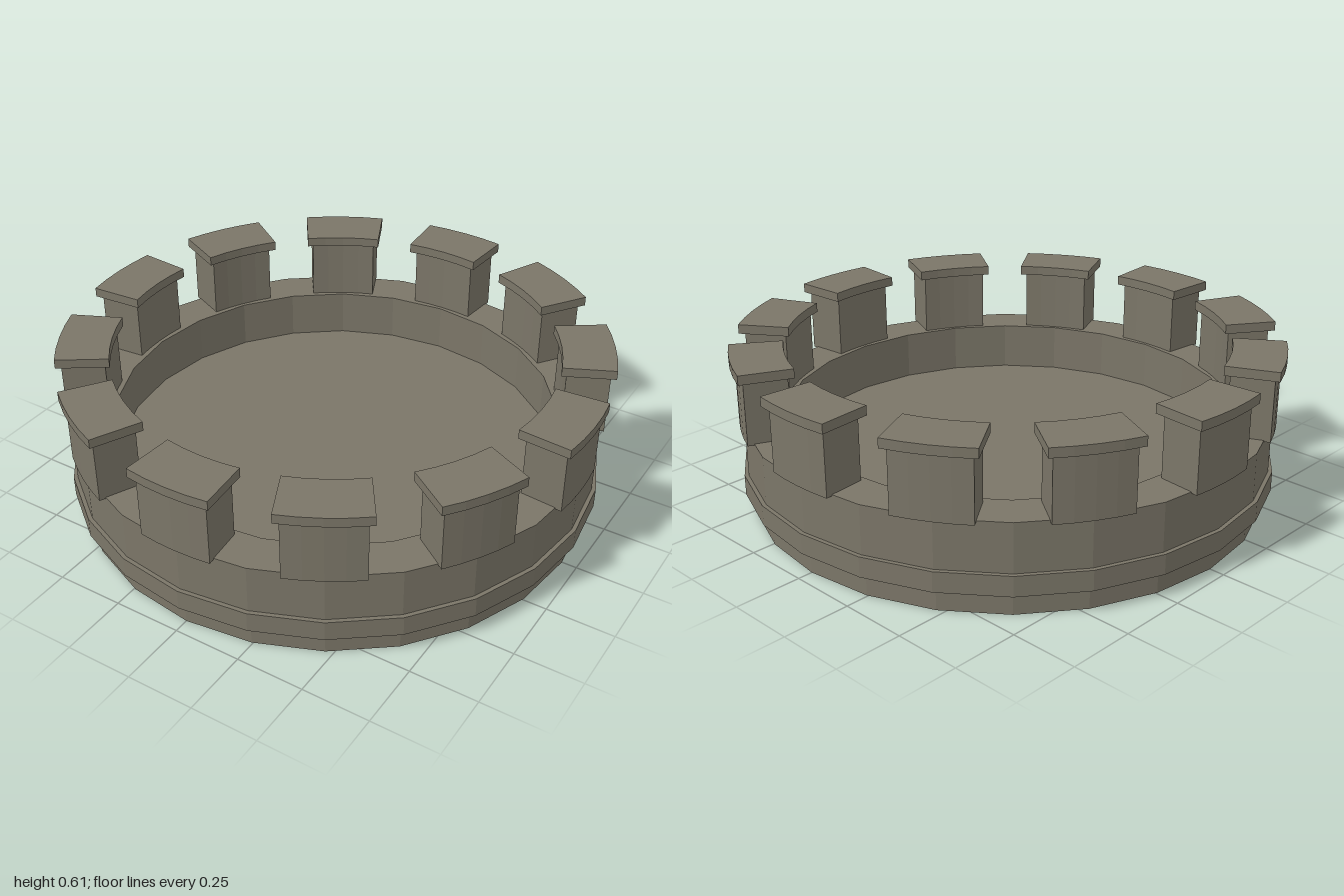
import * as THREE from 'three';

const SIDES = 24;
const MERLONS = 12;

// Extruded arc block centred on +z, from y0 to y1
function arcBlock(rIn, rOut, halfIn, halfOut, y0, y1, material) {
  const steps = 4;
  const points = [];
  const add = (r, a) => points.push(new THREE.Vector2(r * Math.sin(a), -r * Math.cos(a)));
  for (let i = 0; i <= steps; i++) add(rOut, halfOut * (2 * i / steps - 1));
  for (let i = 0; i <= steps; i++) add(rIn, halfIn * (1 - 2 * i / steps));
  const geometry = new THREE.ExtrudeGeometry(new THREE.Shape(points), { depth: y1 - y0, bevelEnabled: false });
  geometry.rotateX(-Math.PI / 2).translate(0, y0, 0);
  return new THREE.Mesh(geometry, material);
}

export function createModel() {
  const model = new THREE.Group();
  model.name = 'towerTop';
  const stone = new THREE.MeshStandardMaterial({ color: 0x7b7668, flatShading: true });
  stone.name = 'stone';

  // Base, moulding, parapet wall and sunken floor in one turned profile
  const profile = [
    [0, 0], [0.945, 0], [0.945, 0.085], [0.98, 0.085], [0.98, 0.16],
    [0.965, 0.16], [0.965, 0.34], [0.812, 0.34], [0.812, 0.16], [0, 0.16],
  ].map(([r, y]) => new THREE.Vector2(r, y));
  const drum = new THREE.Mesh(new THREE.LatheGeometry(profile, SIDES), stone);
  drum.name = 'drumAndParapet';
  model.add(drum);

  // Ring of merlons, each with an overhanging cap
  const deg = Math.PI / 180;
  for (let i = 0; i < MERLONS; i++) {
    const merlon = new THREE.Group();
    merlon.name = 'merlon' + (i + 1);
    const body = arcBlock(0.825, 0.98, 8.6 * deg, 8.1 * deg, 0.335, 0.57, stone);
    body.name = 'merlonBody';
    const cap = arcBlock(0.808, 1, 10.2 * deg, 9.1 * deg, 0.57, 0.605, stone);
    cap.name = 'merlonCap';
    merlon.add(body, cap);
    merlon.rotation.y = i / MERLONS * Math.PI * 2;
    model.add(merlon);
  }
  return model;
}
